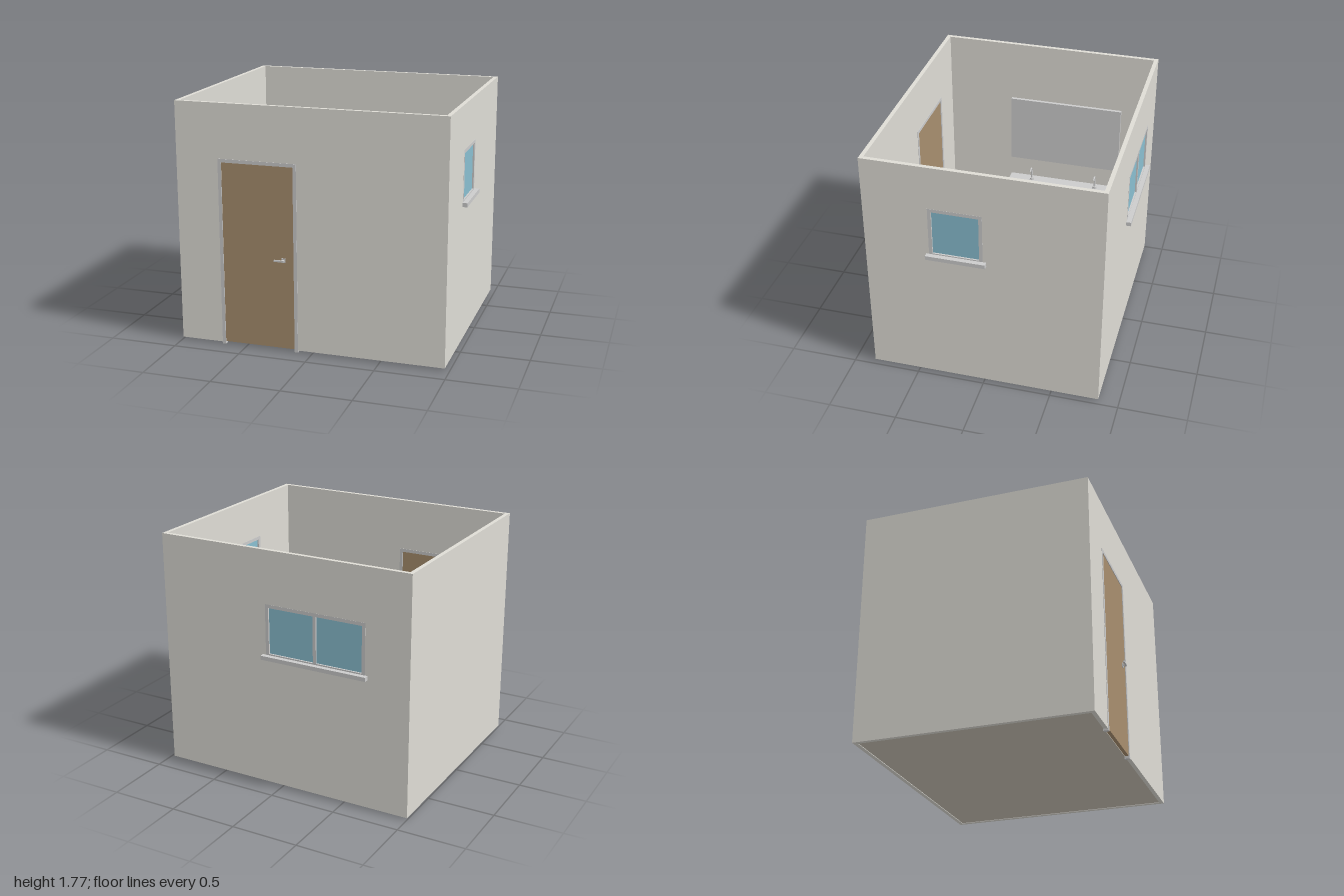
import * as THREE from 'three';
import { toCreasedNormals } from 'three/addons/utils/BufferGeometryUtils.js';
import { RoundedBoxGeometry } from 'three/addons/geometries/RoundedBoxGeometry.js';

const mat = (color) => new THREE.MeshStandardMaterial({ color });
const GREY = mat(0xcccccc), WALL = mat(0xdedcd5), FLOOR = mat(0xc6bfb2);
const WOOD = mat(0xa78e6e), GLASS = mat(0x89bed0);
const X0 = -1, X1 = 0.965, Z = 0.85, T = 0.03, BASE = 0.014, TOP = 1.775, FLOOR_Y = 0.03;

function add(parent, name, geometry, material = GREY) {
  const mesh = new THREE.Mesh(geometry, material);
  mesh.name = name;
  parent.add(mesh);
  return mesh;
}
function group(parent, name) {
  const g = new THREE.Group();
  g.name = name;
  parent.add(g);
  return g;
}
// Box given by its minimum and maximum corners
function box(parent, name, [ax, ay, az], [bx, by, bz], material, round = 0) {
  const s = [bx - ax, by - ay, bz - az];
  const geo = round ? new RoundedBoxGeometry(...s, 3, round) : new THREE.BoxGeometry(...s);
  const mesh = add(parent, name, geo, material);
  mesh.position.set((ax + bx) / 2, (ay + by) / 2, (az + bz) / 2);
  return mesh;
}
function rectPath(Path, u0, v0, u1, v1) {
  return new Path([[u0, v0], [u1, v0], [u1, v1], [u0, v1]].map((p) => new THREE.Vector2(...p)));
}
// Extruded rectangle with rectangular holes, each [u0, v0, u1, v1]
function panel(outer, holes, depth) {
  const shape = rectPath(THREE.Shape, ...outer);
  holes.forEach((h) => shape.holes.push(rectPath(THREE.Path, ...h)));
  return new THREE.ExtrudeGeometry(shape, { depth, bevelEnabled: false });
}
// Horizontal rounded-rectangle ring; rb and rf are the corner radii towards -z and +z
function ring(x0, x1, z0, z1, y, rb, rf = rb, n = 12) {
  const pts = [];
  const corners = [[x1 - rb, z0 + rb, rb], [x0 + rb, z0 + rb, rb], [x0 + rf, z1 - rf, rf], [x1 - rf, z1 - rf, rf]];
  corners.forEach(([cx, cz, r], q) => {
    for (let i = 0; i <= n; i++) {
      const a = (q + i / n) * Math.PI / 2;
      pts.push(new THREE.Vector3(cx + r * Math.cos(a), y, cz - r * Math.sin(a)));
    }
  });
  return pts;
}
// Skin through rings, capped where asked
function loft(rings, capStart = true, capEnd = true) {
  const pos = [], n = rings[0].length;
  const tri = (...v) => v.forEach((p) => pos.push(p.x, p.y, p.z));
  const mid = (r) => r.reduce((s, p) => s.add(p), new THREE.Vector3()).divideScalar(n);
  const first = rings[0], last = rings[rings.length - 1], m0 = mid(first), m1 = mid(last);
  for (let j = 0; j < n; j++) {
    const k = (j + 1) % n;
    for (let i = 0; i + 1 < rings.length; i++) {
      const lo = rings[i], hi = rings[i + 1];
      tri(lo[j], lo[k], hi[k]);
      tri(lo[j], hi[k], hi[j]);
    }
    if (capStart) tri(m0, first[k], first[j]);
    if (capEnd) tri(m1, last[j], last[k]);
  }
  const geo = new THREE.BufferGeometry();
  geo.setAttribute('position', new THREE.Float32BufferAttribute(pos, 3));
  return toCreasedNormals(geo, 0.6);
}
const lathe = (pts) => toCreasedNormals(new THREE.LatheGeometry(pts.map((p) => new THREE.Vector2(...p)), 40), 0.6);

// Window in wall space: u along the wall, outer face at z = 0, room towards +z
function windowUnit(parent, name, [u0, v0, u1, v1], panes, [s0, s1, sy0, sy1]) {
  const g = group(parent, name), f = 0.025, m = 0.012, holes = [];
  const w = (u1 - u0 - 2 * f - (panes - 1) * 2 * m) / panes;
  for (let i = 0; i < panes; i++) {
    const a = u0 + f + i * (w + 2 * m);
    holes.push([a, v0 + f, a + w, v1 - f]);
  }
  add(g, 'windowFrame', panel([u0, v0, u1, v1], holes, T + 0.002)).position.z = -0.001;
  holes.forEach(([a, b, c, d]) => box(g, 'glass', [a, b, 0.011], [c, d, 0.019], GLASS));
  box(g, 'windowSill', [s0, sy0, -0.036], [s1, sy1, T + 0.038]);
  return g;
}

function buildShell(room) {
  const back = [-0.665, 0.995, 0.115, 1.385], right = [-0.005, 1.06, 0.38, 1.45];
  const door = [-0.685, BASE, -0.105, 1.38];
  box(room, 'floor', [X0 + T, 0.018, -Z + T], [X1 - T, FLOOR_Y, Z - T], FLOOR);
  box(room, 'leftEndWall', [X0, BASE, -Z + T], [X0 + T, TOP, Z - T], WALL);

  const backSide = group(room, 'backSide');
  backSide.position.z = -Z;
  add(backSide, 'backWall', panel([X0, BASE, X1, TOP], [back], T), WALL);
  windowUnit(backSide, 'doubleWindow', back, 2, [-0.685, 0.14, 0.98, 1.01]);

  const rightSide = group(room, 'windowSide');
  rightSide.rotation.y = -Math.PI / 2;
  rightSide.position.x = X1;
  add(rightSide, 'sideWall', panel([-Z + T, BASE, Z - T, TOP], [right], T), WALL);
  windowUnit(rightSide, 'singleWindow', right, 1, [-0.03, 0.4, 1.047, 1.077]);

  // Front wall; the door opening reaches its lower edge
  const s = new THREE.Shape();
  [[X0, BASE], [door[0], BASE], [door[0], door[3]], [door[2], door[3]], [door[2], BASE], [X1, BASE], [X1, TOP], [X0, TOP]]
    .forEach(([x, y], i) => (i ? s.lineTo(x, y) : s.moveTo(x, y)));
  add(room, 'frontWall', new THREE.ExtrudeGeometry(s, { depth: T, bevelEnabled: false }), WALL).position.z = Z - T;

  const d = group(room, 'door');
  for (const x of [-0.685, -0.13]) box(d, 'doorJamb', [x, 0, 0.817], [x + 0.025, 1.38, 0.853]);
  box(d, 'doorHead', [-0.66, 1.355, 0.817], [-0.13, 1.38, 0.853]);
  box(d, 'doorLeaf', [-0.66, 0.02, 0.822], [-0.13, 1.355, 0.848], WOOD);
  for (const side of [-1, 1]) {
    const h = group(d, 'doorHandle');
    h.position.set(-0.205, 0.68, 0.835);
    h.scale.z = side;
    box(h, 'handlePlate', [-0.015, -0.016, 0.013], [0.015, 0.016, 0.02]);
    box(h, 'handleNeck', [-0.007, -0.007, 0.02], [0.007, 0.007, 0.046]);
    box(h, 'handleLever', [-0.065, -0.006, 0.034], [0.01, 0.006, 0.046]);
  }
}

function buildBathtub(room) {
  const st = (x0, x1, z0, z1, y) => ring(x0, x1, z0, z1, y, (z1 - z0) / 2 - 0.0005);
  add(room, 'bathtub', loft([
    st(-0.44, 0.39, -0.73, -0.33, FLOOR_Y), st(-0.47, 0.42, -0.755, -0.305, 0.15),
    st(-0.5, 0.45, -0.785, -0.275, 0.34), st(-0.527, 0.477, -0.807, -0.253, 0.39),
    st(-0.53, 0.48, -0.81, -0.25, 0.4), st(-0.527, 0.477, -0.807, -0.253, 0.41),
    st(-0.508, 0.458, -0.772, -0.288, 0.41), st(-0.5, 0.45, -0.765, -0.295, 0.4),
    st(-0.405, 0.355, -0.71, -0.345, 0.12), st(-0.38, 0.33, -0.69, -0.365, 0.1),
  ]));
}

function buildVanity(room) {
  const g = group(room, 'vanity'), xb = X0 + T, top = 0.58, sinks = [-0.41, 0.125];
  box(g, 'cabinet', [xb, 0.1, -0.585], [-0.705, 0.42, 0.305]);
  box(g, 'plinth', [xb, FLOOR_Y, -0.57], [-0.74, 0.1, 0.29]);
  box(g, 'cabinetRim', [-0.725, 0.42, -0.585], [-0.705, top - 0.03, 0.305]);
  for (const z of [-0.585, 0.287]) box(g, 'cabinetEnd', [xb, 0.42, z], [-0.725, top - 0.03, z + 0.018]);
  const counter = panel([xb, -0.315, -0.695, 0.595], sinks.map((z) => [-0.88, -z - 0.115, -0.74, -z + 0.115]), 0.03);
  counter.rotateX(-Math.PI / 2);
  add(g, 'countertop', counter).position.y = top - 0.03;
  for (let i = 0; i < 3; i++) {
    const z = -0.585 + i * 0.2967, c = -0.41 + i * 0.27;
    box(g, 'drawerFront', [-0.706, 0.12, z + 0.006], [-0.698, 0.53, z + 0.29]);
    box(g, 'drawerHandle', [-0.688, 0.455, c - 0.037], [-0.677, 0.467, c + 0.037]);
    for (const o of [-0.03, 0.02]) box(g, 'handlePost', [-0.699, 0.456, c + o], [-0.687, 0.466, c + o + 0.01]);
  }
  for (const z of sinks) {
    const r = (i, y) => ring(-0.887 + i, -0.735 - i, z - 0.122 + i, z + 0.122 - i, y, 0.02);
    add(g, 'basin', loft([r(0, top), r(0, top + 0.006), r(0.008, top + 0.006), r(0.014, top - 0.02), r(0.022, top - 0.085), r(0.036, top - 0.095)], false));
    const path = new THREE.CatmullRomCurve3([[-0.905, top], [-0.905, top + 0.1], [-0.885, top + 0.12], [-0.85, top + 0.105]]
      .map(([x, y]) => new THREE.Vector3(x, y, z)));
    add(g, 'tap', new THREE.TubeGeometry(path, 20, 0.007, 10));
    add(g, 'tapBase', new THREE.CylinderGeometry(0.016, 0.018, 0.02, 20)).position.set(-0.905, top + 0.01, z);
  }
  box(g, 'mirror', [xb, 0.75, -0.59], [-0.945, 1.3, 0.31]);
}

function buildToilet(room) {
  const g = group(room, 'toilet');
  const d = (i, z0, z1, y) => ring(0.61 + i, 0.835 - i, z0, z1, y, 0.112 - i, 0.02);
  add(g, 'toiletBowl', loft([
    d(0.035, 0.53, 0.79, FLOOR_Y), d(0.042, 0.535, 0.79, 0.1), d(0.03, 0.49, 0.79, 0.18),
    d(0.008, 0.435, 0.79, 0.26), d(0.005, 0.43, 0.79, 0.29),
  ]));
  add(g, 'toiletSeat', loft([d(0, 0.424, 0.7, 0.292), d(0, 0.424, 0.7, 0.305)]));
  add(g, 'toiletLid', loft([d(0.002, 0.424, 0.7, 0.308), d(0, 0.422, 0.7, 0.318), d(0.008, 0.43, 0.695, 0.326)]));
  box(g, 'cistern', [0.607, 0.28, 0.72], [0.838, 0.53, 0.81], GREY, 0.015);
  box(g, 'cisternLid', [0.6, 0.525, 0.713], [0.845, 0.55, 0.815], GREY, 0.01);
  add(g, 'flushButton', new THREE.CylinderGeometry(0.016, 0.016, 0.012, 24)).position.set(0.722, 0.552, 0.765);
}

function buildBins(room) {
  // Round basket with a slightly domed lid
  const b = group(room, 'roundBasket');
  b.position.set(0.685, FLOOR_Y, -0.37);
  add(b, 'basketBody', lathe([[0, 0], [0.098, 0], [0.11, 0.27], [0, 0.27]]));
  add(b, 'basketLid', lathe([[0.108, 0.27], [0.115, 0.27], [0.115, 0.295], [0.108, 0.302], [0, 0.308]]));
  // Rectangular chest with a knob on its lid
  const c = group(room, 'laundryChest');
  box(c, 'chestBody', [0.175, FLOOR_Y, 0.58], [0.415, 0.39, 0.77], GREY, 0.012);
  box(c, 'chestLid', [0.16, 0.385, 0.57], [0.43, 0.415, 0.78], GREY, 0.01);
  box(c, 'chestKnob', [0.268, 0.414, 0.652], [0.322, 0.436, 0.694], GREY, 0.008);
}

export function createModel() {
  const room = new THREE.Group();
  room.name = 'bathroom';
  buildShell(room);
  buildBathtub(room);
  buildVanity(room);
  buildToilet(room);
  buildBins(room);
  return room;
}
